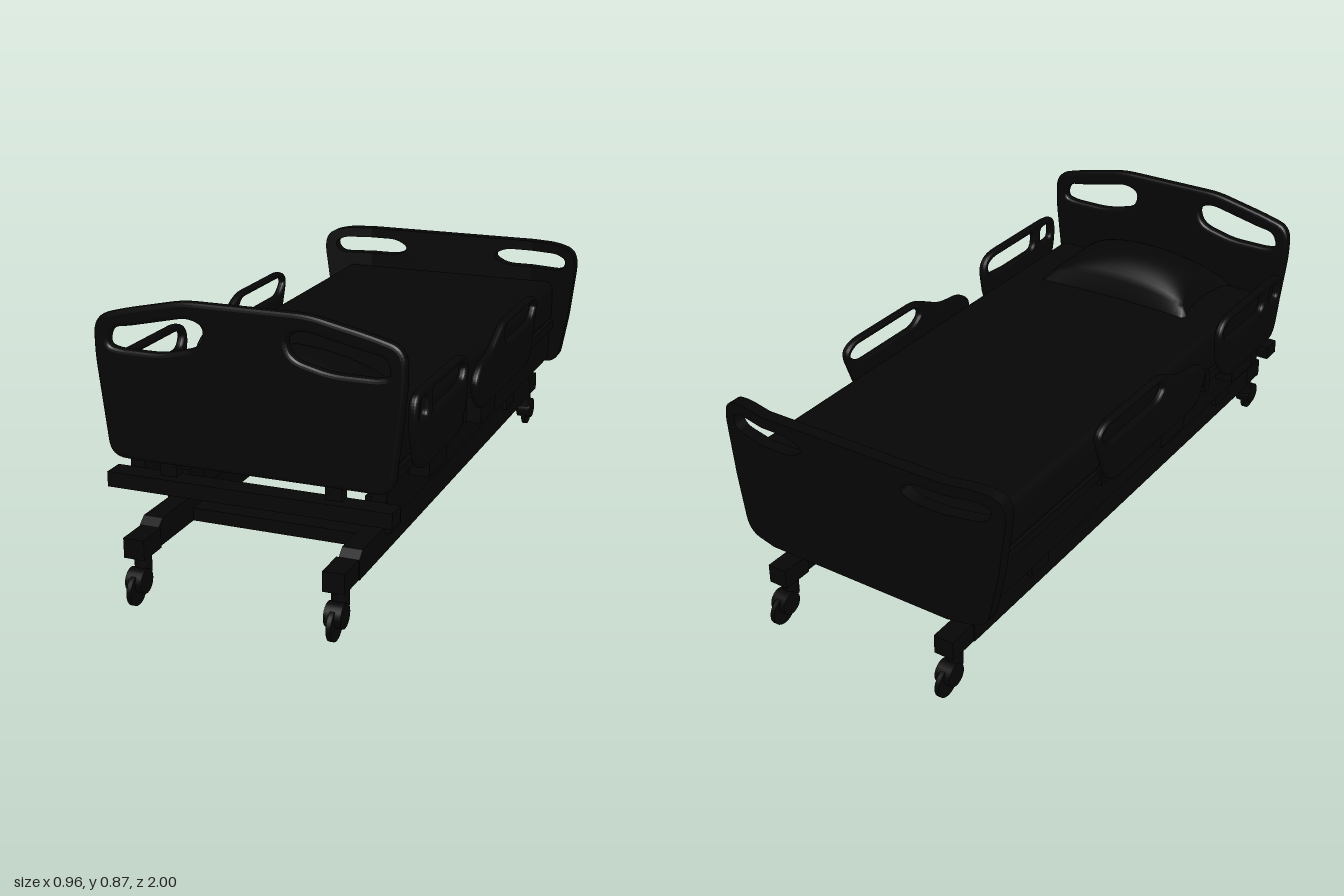
import * as THREE from 'three';
import { RoundedBoxGeometry } from 'three/addons/geometries/RoundedBoxGeometry.js';

const black = new THREE.MeshStandardMaterial({ color: 0x060606 });
black.name = 'black';

// Closed outline from [x, y, cornerRadius] points
function outline(points, Type = THREE.Shape) {
  const path = new Type();
  const n = points.length;
  points.forEach(([x, y, r = 0], i) => {
    const p = new THREE.Vector2(x, y);
    const toward = (q) => {
      const d = new THREE.Vector2(q[0], q[1]).sub(p);
      return p.clone().addScaledVector(d, Math.min(r / d.length(), 0.48));
    };
    const a = toward(points[(i + n - 1) % n]);
    const b = toward(points[(i + 1) % n]);
    if (i === 0) path.moveTo(a.x, a.y);
    else path.lineTo(a.x, a.y);
    if (r > 0) path.quadraticCurveTo(x, y, b.x, b.y);
  });
  path.closePath();
  return path;
}

const mirrorX = (points) => points.map(([x, y, r]) => [-x, y, r]).reverse();

// Flat panel centred on its own z = 0, with softened edges
function panel(points, holes, thickness, bevel) {
  const shape = outline(points);
  shape.holes = holes.map((h) => outline(h, THREE.Path));
  const geo = new THREE.ExtrudeGeometry(shape, {
    depth: thickness - 2 * bevel, curveSegments: 8, bevelEnabled: bevel > 0,
    bevelThickness: bevel, bevelSize: bevel, bevelOffset: -bevel, bevelSegments: 3,
  });
  return geo.translate(0, 0, -(thickness - 2 * bevel) / 2);
}

export function createModel() {
  const model = new THREE.Group();
  model.name = 'hospitalBed';

  const add = (name, geo, x = 0, y = 0, z = 0) => {
    const mesh = new THREE.Mesh(geo, black);
    mesh.name = name;
    mesh.position.set(x, y, z);
    model.add(mesh);
    return mesh;
  };
  // Box given by its limits on each axis
  const box = (name, x0, x1, y0, y1, z0, z1) =>
    add(name, new THREE.BoxGeometry(x1 - x0, y1 - y0, z1 - z0), (x0 + x1) / 2, (y0 + y1) / 2, (z0 + z1) / 2);
  const pair = (name, x0, x1, ...rest) => {
    box(name, x0, x1, ...rest);
    box(name, -x1, -x0, ...rest);
  };

  // Headboard with two hand holes
  const headHalf = [
    [0.425, 0.39, 0.05], [0.46, 0.69, 0.04], [0.46, 0.80, 0.07], [0.37, 0.826, 0.04], [0.185, 0.866, 0.04],
  ];
  const headHole = [
    [0.38, 0.711, 0.02], [0.42, 0.72, 0.03], [0.405, 0.772, 0.04], [0.35, 0.78, 0.02],
    [0.17, 0.82, 0.03], [0.118, 0.80, 0.04], [0.135, 0.74, 0.04], [0.25, 0.711, 0.04],
  ];
  add('headboard', panel([...headHalf, ...mirrorX(headHalf)], [headHole, mirrorX(headHole)], 0.036, 0.012), 0, 0, 0.835);

  // Footboard: flat middle and two wings angled inward, a hand hole crossing each joint
  const bend = 0.31;
  const footHalf = [
    [bend, 0.27], [bend, 0.615], [0.21, 0.615, 0.03], [0.16, 0.645, 0.03], [0.21, 0.675, 0.03], [bend, 0.675], [bend, 0.71],
  ];
  const wing = [
    [bend, 0.27], [0.425, 0.27, 0.05], [0.46, 0.45, 0.02], [0.485, 0.65, 0.04], [0.465, 0.695, 0.03], [0.40, 0.71, 0.03],
    [bend, 0.71], [bend, 0.675], [0.41, 0.675, 0.02], [0.45, 0.655, 0.03], [0.43, 0.615, 0.03], [bend, 0.615],
  ];
  add('footboardMiddle', panel([...footHalf, ...mirrorX(footHalf)], [], 0.04, 0), 0, 0, -0.933);
  for (const points of [wing, mirrorX(wing)]) {
    const geo = panel(points, [], 0.04, 0);
    const pos = geo.attributes.position;
    for (let i = 0; i < pos.count; i++) {
      pos.setZ(i, pos.getZ(i) + (Math.abs(pos.getX(i)) - bend) * 0.22);
    }
    geo.computeVertexNormals();
    add('footboardWing', geo, 0, 0, -0.933);
  }

  // Mattress and its deck
  add('mattress', new RoundedBoxGeometry(0.8, 0.15, 1.69, 4, 0.03), 0, 0.497, -0.067);
  box('deck', -0.405, 0.405, 0.40, 0.43, -0.91, 0.81);
  for (const z of [-0.29, -0.06, 0.18, 0.37]) pair('mattressKeeper', 0.39, 0.412, 0.38, 0.45, z - 0.015, z + 0.015);

  // Pillow: domed sheet with pinched sides
  const pillow = new THREE.PlaneGeometry(2, 2, 28, 20).rotateX(-Math.PI / 2);
  const p = pillow.attributes.position;
  for (let i = 0; i < p.count; i++) {
    const u = p.getX(i);
    const v = p.getZ(i);
    const dome = Math.max(0, (1 - u * u) * (1 - v * v));
    p.setXYZ(i, u * (0.285 - 0.035 * (1 - v * v)), 0.565 + 0.135 * dome ** 0.42, v * (0.165 - 0.015 * (1 - u * u)));
  }
  pillow.computeVertexNormals();
  add('pillow', pillow, 0, 0, 0.61);

  // Side rails, drawn in the z-y plane
  const headRail = [
    [0.40, 0.43, 0.04], [0.75, 0.43, 0.05], [0.79, 0.57, 0.04], [0.785, 0.65, 0.05],
    [0.72, 0.66, 0.03], [0.37, 0.66, 0.05], [0.325, 0.62, 0.04], [0.345, 0.50, 0.03],
  ];
  const headRailHoles = [
    [[0.37, 0.58, 0.02], [0.46, 0.572, 0.03], [0.65, 0.572, 0.03], [0.65, 0.637, 0.02], [0.39, 0.637, 0.03], [0.352, 0.62, 0.02]],
    [[0.69, 0.575, 0.02], [0.76, 0.575, 0.02], [0.758, 0.635, 0.025], [0.69, 0.635, 0.02]],
  ];
  const footRail = [
    [-0.35, 0.43, 0.05], [0.20, 0.43, 0.05], [0.25, 0.53, 0.04], [0.20, 0.575, 0.04],
    [0.09, 0.585, 0.04], [-0.05, 0.652, 0.04], [-0.38, 0.652, 0.04], [-0.425, 0.62, 0.04],
  ];
  const footRailHole = [
    [-0.36, 0.57, 0.03], [-0.07, 0.57, 0.03], [-0.03, 0.60, 0.02], [-0.06, 0.632, 0.03], [-0.37, 0.632, 0.02], [-0.405, 0.61, 0.02],
  ];
  for (const side of [-1, 1]) {
    add('headSideRail', panel(headRail, headRailHoles, 0.026, 0.009).rotateY(-Math.PI / 2), side * 0.455);
    add('footSideRail', panel(footRail, [footRailHole], 0.026, 0.009).rotateY(-Math.PI / 2), side * 0.455);
  }
  for (const z of [0.55, 0.065]) {
    pair('railMount', 0.38, 0.45, 0.37, 0.45, z - 0.075, z + 0.075);
  }

  // Bed frame
  pair('frameSideBeam', 0.345, 0.39, 0.285, 0.41, -0.92, 0.80);
  for (const z of [0.6, 0.15, -0.2, -0.545, -0.88]) box('frameCrossMember', -0.35, 0.35, 0.34, 0.40, z - 0.02, z + 0.02);

  // Bumper bar and headboard posts
  box('bumperBar', -0.43, 0.43, 0.305, 0.35, 0.80, 0.865);
  pair('headboardPost', 0.225, 0.275, 0.33, 0.44, 0.80, 0.835);

  // Base beams with sloping ends
  const beam = [[-0.86, 0.14], [0.86, 0.14], [0.86, 0.20], [0.835, 0.22], [-0.835, 0.22], [-0.86, 0.20]];
  for (const side of [-1, 1]) {
    add('baseBeam', panel(beam, [], 0.06, 0).rotateY(-Math.PI / 2), side * 0.305);
  }
  pair('liftRail', 0.28, 0.33, 0.21, 0.28, -0.57, 0.665);
  for (const z of [0.62, -0.545]) {
    box('baseCrossBar', -0.3, 0.3, 0.14, 0.18, z - 0.03, z + 0.03);
    pair('liftPost', 0.275, 0.35, 0.20, 0.305, z - 0.045, z + 0.045);
  }

  // Casters at the four corners
  for (const x of [-0.3, 0.3]) {
    for (const s of [-1, 1]) {
      const z = s * 0.91;
      add('casterBracket', new THREE.BoxGeometry(0.064, 0.06, 0.1), x, 0.17, z);
      add('casterStem', new THREE.CylinderGeometry(0.025, 0.025, 0.06, 16), x, 0.115, z);
      const cover = new THREE.CylinderGeometry(0.036, 0.036, 0.05, 20).rotateZ(Math.PI / 2);
      add('casterCover', cover, x, 0.068, s * 0.938);
      add('casterWheel', new THREE.CylinderGeometry(0.046, 0.046, 0.014, 28).rotateZ(Math.PI / 2), x, 0.046, s * 0.954);
    }
  }

  return model;
}
